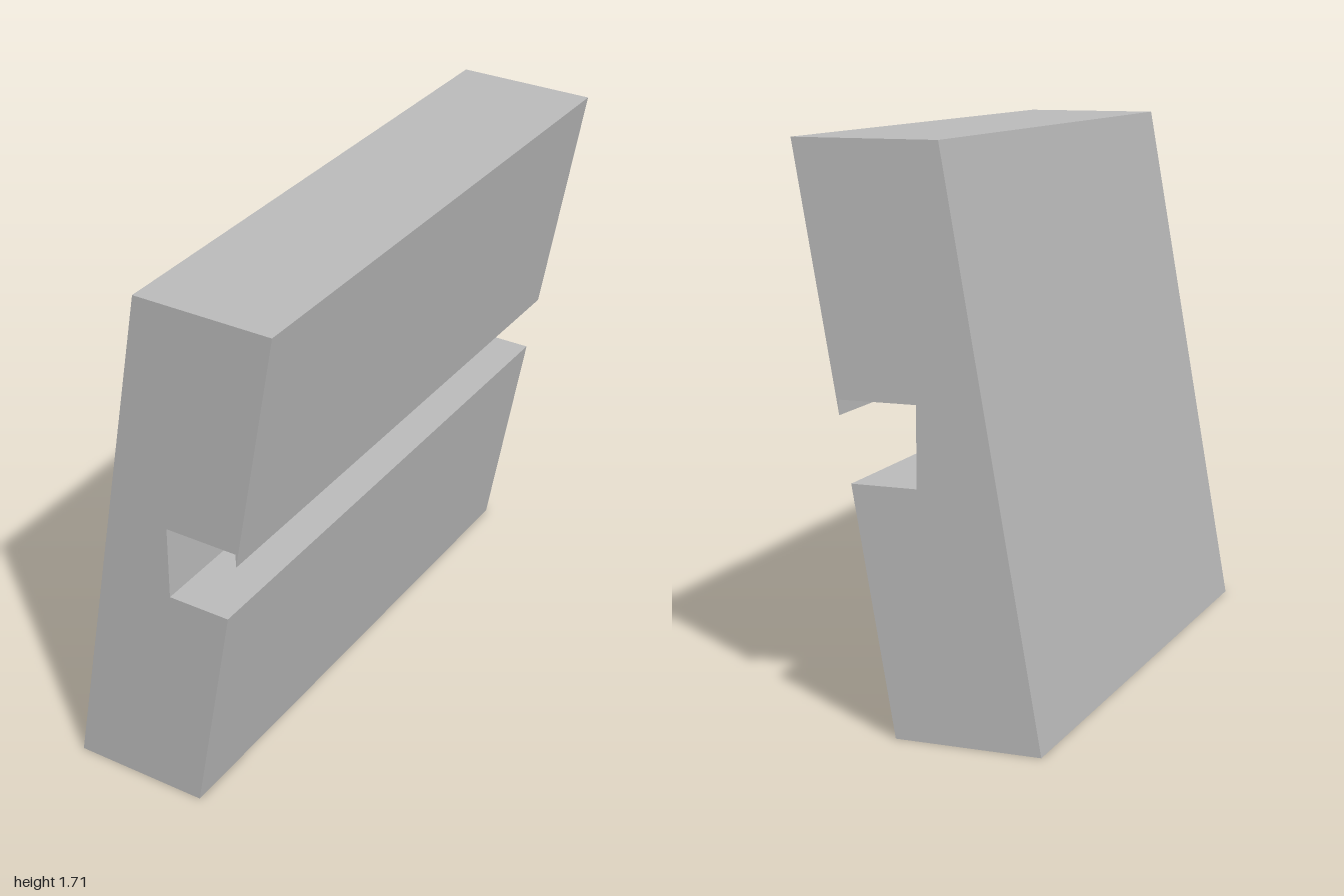
import * as THREE from 'three';

export function createModel() {
  const group = new THREE.Group();
  group.name = 'groovedBlock';
  const grey = new THREE.MeshStandardMaterial({ color: 0xbbbbbb });
  grey.name = 'grey';

  // Leaning cross-section with a square groove cut into its outer face
  const height = 1.714, lean = 0.3, length = 1.853;
  const outer = (y) => 0.074 + lean * y / height;
  const grooveBottom = 0.74, grooveTop = 0.98, lipY = 0.935;
  const profile = new THREE.Shape([
    [-0.374, 0], [outer(0), 0],
    [outer(grooveBottom), grooveBottom], [0, grooveBottom],
    [0, grooveTop], [outer(lipY), grooveTop], [outer(lipY), lipY],
    [outer(height), height], [-0.374 + lean, height],
  ].map(([x, y]) => new THREE.Vector2(x, y)));

  // Extrude along the block's length, centre it and turn it about the vertical
  const geometry = new THREE.ExtrudeGeometry(profile, { depth: length, bevelEnabled: false });
  geometry.translate(0, 0, -length / 2);
  geometry.rotateY(-Math.PI / 8);

  const block = new THREE.Mesh(geometry, grey);
  block.name = 'leaningSlab';
  group.add(block);
  return group;
}
